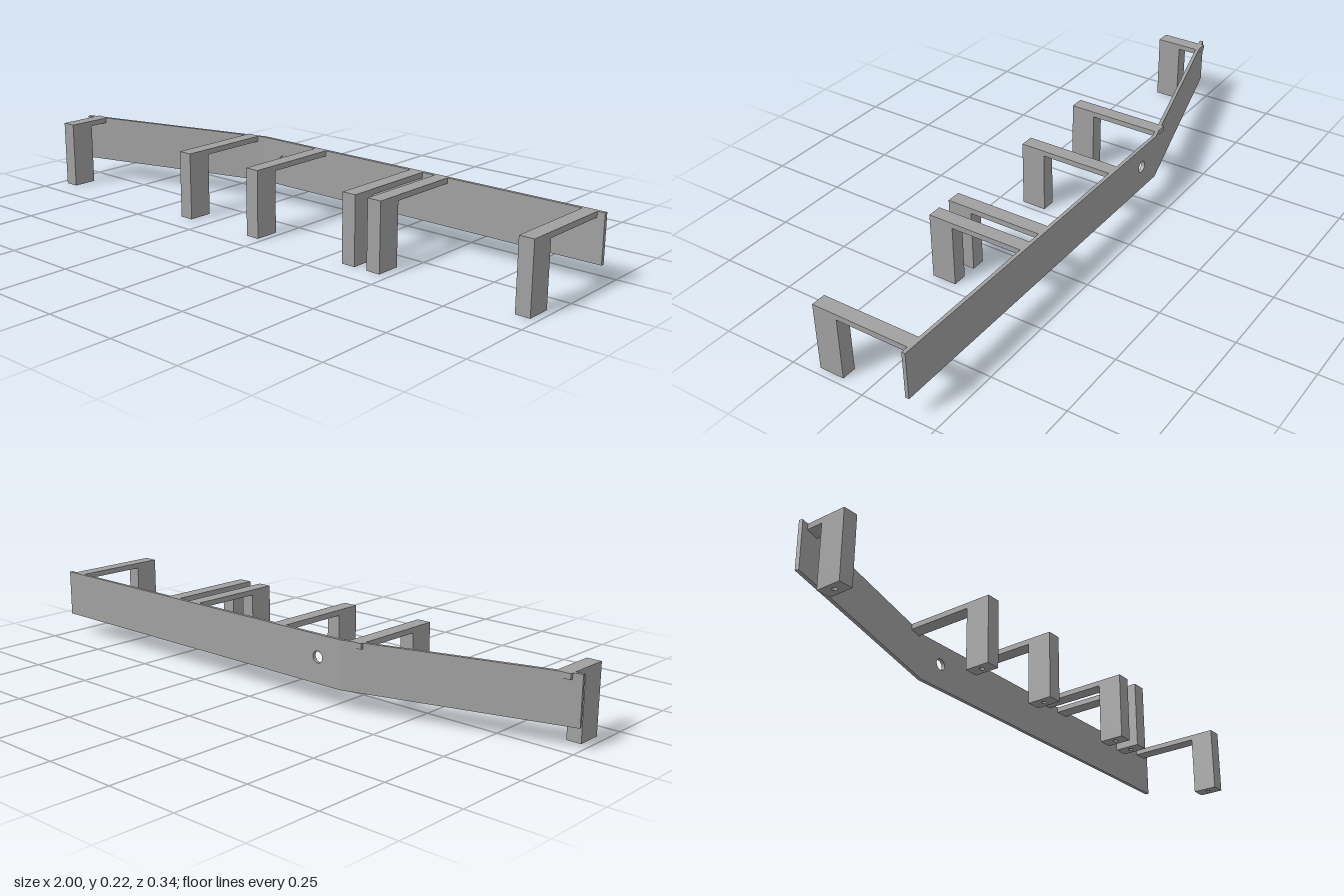
import * as THREE from 'three';

export function createModel() {
  const model = new THREE.Group();
  const grey = new THREE.MeshStandardMaterial({ color: 0xa0a0a0 });
  grey.name = 'grey';

  const add = (parent, name, geometry, x = 0, y = 0, z = 0) => {
    const mesh = new THREE.Mesh(geometry, grey);
    mesh.name = name;
    mesh.position.set(x, y, z);
    parent.add(mesh);
  };
  const polygon = (points) => new THREE.Shape(points.map(([x, y]) => new THREE.Vector2(x, y)));
  const extrude = (shape, depth) =>
    new THREE.ExtrudeGeometry(shape, { depth, bevelEnabled: false, curveSegments: 24 });
  const roundHole = (x, y, r) => new THREE.Path().absarc(x, y, r, 0, Math.PI * 2, true);
  // Plan outlines use (x, -z) and are raised upwards.
  const raise = (shape, height) => extrude(shape, height).rotateX(-Math.PI / 2);

  const bottom = 0.068, top = 0.223, back = -0.168, thick = 0.012, bend = -0.3;

  // Straight board with a round through hole
  const straight = polygon([[bend, bottom], [1, bottom], [1, top], [bend, top]]);
  straight.holes.push(roundHole(-0.21, 0.152, 0.019));
  add(model, 'straightBoard', extrude(straight, thick), 0, 0, back);

  // Board angled forwards at the right end
  const angled = polygon([[-1, -0.028], [bend, -back], [bend, -back - thick], [-0.997, -0.04]]);
  add(model, 'angledBoard', raise(angled, top - bottom), 0, bottom, 0);

  // Brackets: a flat arm reaching forwards to a post with a screw hole underneath
  const width = 0.048, front = 0.17, postDepth = 0.083, armThick = 0.018;
  const armY = top - armThick, holeDepth = 0.08;
  const postZ = front - postDepth / 2;
  const base = polygon([
    [-width / 2, -postDepth / 2], [width / 2, -postDepth / 2],
    [width / 2, postDepth / 2], [-width / 2, postDepth / 2],
  ]);
  base.holes.push(roundHole(0, 0, 0.008));

  const brackets = [
    [-0.948, 0.01], [-0.347, -0.157], [-0.045, -0.157],
    [0.348, -0.157], [0.442, -0.157], [0.952, -0.157],
  ];
  for (const [x, start] of brackets) {
    const bracket = new THREE.Group();
    bracket.name = 'bracket';
    bracket.position.x = x;
    add(bracket, 'arm', new THREE.BoxGeometry(width, armThick, front - start),
      0, armY + armThick / 2, (front + start) / 2);
    add(bracket, 'post', new THREE.BoxGeometry(width, armY - holeDepth, postDepth),
      0, (armY + holeDepth) / 2, postZ);
    add(bracket, 'drilledFoot', raise(base, holeDepth), 0, 0, postZ);
    model.add(bracket);
  }

  return model;
}
